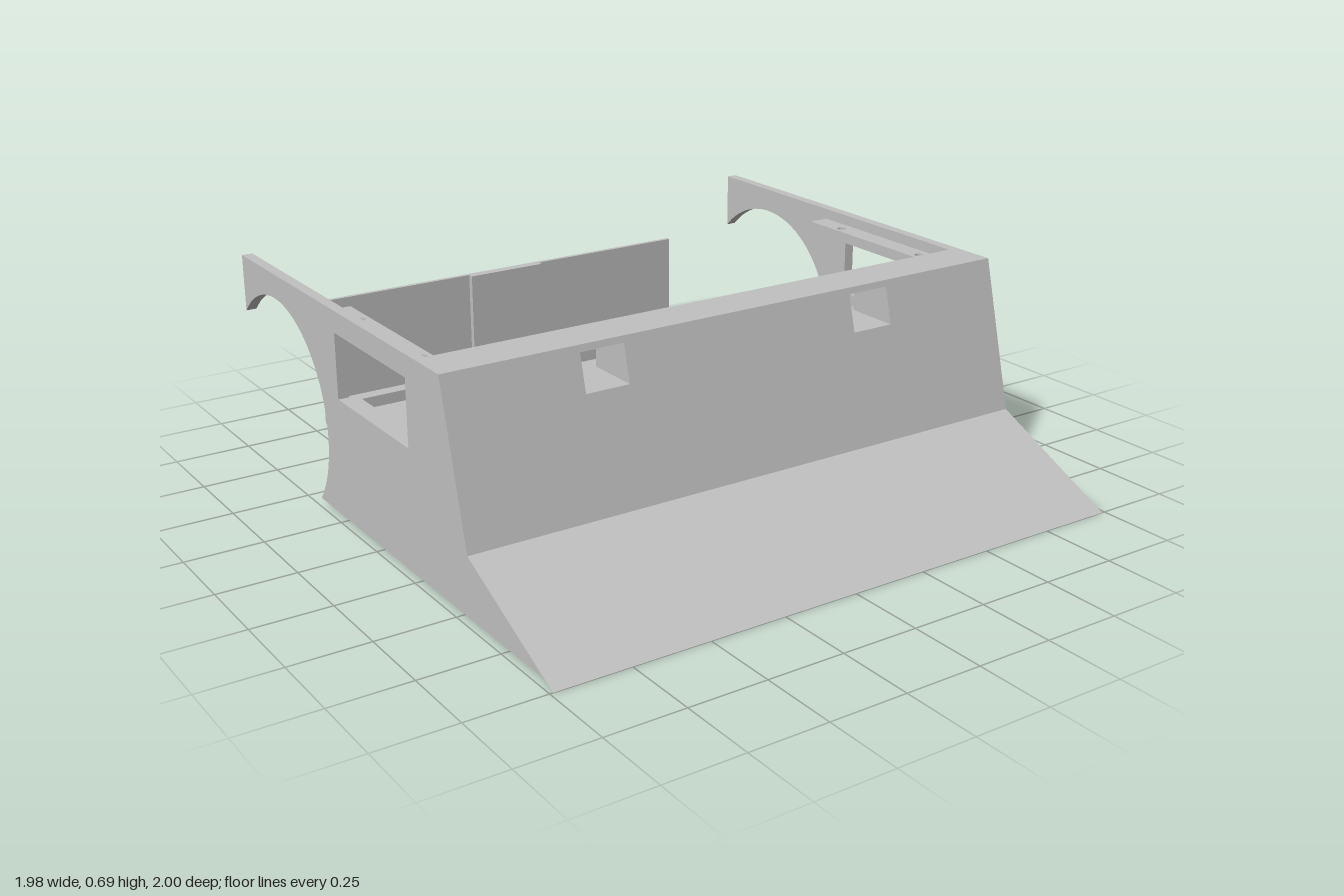
import * as THREE from 'three';
import { toCreasedNormals } from 'three/addons/utils/BufferGeometryUtils.js';

export function createModel() {
  const model = new THREE.Group();
  model.name = 'chassisShell';
  const grey = new THREE.MeshStandardMaterial({ color: 0xc0c0c0 });
  grey.name = 'plain grey';

  const add = (name, geometry) => {
    const mesh = new THREE.Mesh(geometry, grey);
    mesh.name = name;
    model.add(mesh);
    return mesh;
  };
  const box = (name, x0, x1, y0, y1, z0, z1) => {
    const mesh = add(name, new THREE.BoxGeometry(x1 - x0, y1 - y0, z1 - z0));
    mesh.position.set((x0 + x1) / 2, (y0 + y1) / 2, (z0 + z1) / 2);
  };
  const poly = (points) => new THREE.Shape(points.map((p) => new THREE.Vector2(...p)));
  const rect = (x0, x1, y0, y1) => poly([[x0, y0], [x1, y0], [x1, y1], [x0, y1]]);
  const circle = (x, y, r) => new THREE.Shape().absarc(x, y, r, 0, Math.PI * 2);
  const stadium = (x, y, half, r) => new THREE.Shape()
    .absarc(x + half - r, y, r, -Math.PI / 2, Math.PI / 2)
    .absarc(x - half + r, y, r, Math.PI / 2, Math.PI * 1.5);
  const extrude = (shape, depth) =>
    new THREE.ExtrudeGeometry(shape, { depth, bevelEnabled: false, curveSegments: 24 });

  // Outline in (x, z), spanning y0 to y1
  const plan = (name, shape, holes, y0, y1) => {
    shape.holes = holes;
    const g = extrude(shape, y1 - y0).rotateX(Math.PI / 2).translate(0, y1, 0);
    add(name, toCreasedNormals(g, 0.5));
  };
  // Outline in (z, y), spanning x0 to x1
  const profile = (name, shape, x0, x1) => {
    const g = extrude(shape, x1 - x0).rotateY(-Math.PI / 2).translate(x1, 0, 0);
    add(name, toCreasedNormals(g, 0.5));
  };

  const outer = 0.99, inner = 0.955, tail = 0.715;
  const bottom = 0.02, floor = 0.055, top = 0.685, front = 0.29;

  // Side walls with window and rear wheel arch
  const sideShape = () => {
    const s = poly([[0.95, bottom], [1, 0], [0.56, 0.205], [0.435, top], [-0.94, top], [-0.94, 0.497]]);
    s.absarc(-0.685, 0.25, 0.355, Math.atan2(0.247, -0.255), Math.atan2(-0.23, 0.27), true);
    s.holes = [rect(-0.235, 0.23, 0.405, 0.615)];
    return s;
  };
  profile('leftSideWall', sideShape(), inner, outer);
  profile('rightSideWall', sideShape(), -outer, -inner);

  // Front block, divided around the two light openings
  const slantZ = (y) => 0.435 + ((top - y) / 0.48) * 0.125;
  const band = (y0, y1) => poly([[front, y0], [slantZ(y0), y0], [slantZ(y1), y1], [front, y1]]);
  const low = 0.55, high = 0.665;
  profile('frontLowerBlock',
    poly([[front, floor], [0.882, floor], [0.56, 0.205], [slantZ(low), low], [front, low]]), -inner, inner);
  profile('frontUpperBeam', band(high, top), -inner, inner);
  for (const [x0, x1] of [[-inner, -0.555], [-0.41, 0.41], [0.555, inner]]) {
    profile('frontPier', band(low, high), x0, x1);
  }
  profile('noseEdge', poly([[0.882, bottom], [0.95, bottom], [1, 0], [0.882, floor]]), -inner, inner);

  // Floor in two layers, the upper one leaving a shallow tray
  const floorShape = () => poly([[-inner, 0.882], [-inner, -0.412], [-tail, -0.412], [-tail, -0.985],
    [tail, -0.985], [tail, -0.412], [inner, -0.412], [inner, 0.882]]);
  const floorHoles = () => {
    const holes = [stadium(0, -0.618, 0.157, 0.068)];
    for (const x of [-0.421, -0.118, 0.118, 0.421]) {
      for (const z of [-0.74, -0.5]) holes.push(circle(x, z, 0.019));
    }
    for (const x of [-0.76, 0.76]) holes.push(stadium(x, 0.75, 0.15, 0.045));
    return holes;
  };
  plan('floorBase', floorShape(), floorHoles(), bottom, 0.042);
  plan('floorTop', floorShape(), [...floorHoles(), rect(-0.85, 0.85, -0.25, 0.23)], 0.042, floor);

  // Thin mounting pads on the rear floor
  for (const s of [-1, 1]) {
    const holes = [-0.74, -0.5].map((z) => circle(s * 0.421, z, 0.019));
    plan('mountingPad', rect(s * 0.4, s * 0.65, -0.82, -0.42), holes, floor, 0.061);
  }

  // Inner shelf frame below the windows
  plan('shelfFrame', rect(-inner, inner, -0.345, front),
    [rect(-0.885, 0.885, -0.3, 0.24)], 0.33, 0.365);

  // Upper rails with screw holes
  for (const s of [-1, 1]) {
    const holes = [-0.21, 0.19].map((z) => circle(s * 0.915, z, 0.015));
    plan('upperRail', rect(s * 0.885, s * inner, -0.345, front), holes, 0.615, 0.65);
  }

  // Rear panel with a slot and a thickened centre
  const rear = rect(-tail, tail, bottom, 0.465);
  rear.holes = [rect(-0.143, 0.143, 0.075, 0.145)];
  add('rearPanel', extrude(rear, 0.015).translate(0, 0, -1));
  box('rearPanelRib', -0.143, 0.143, 0.145, 0.465, -0.985, -0.965);
  box('rearPanelSill', -0.143, 0.143, floor, 0.075, -0.985, -0.965);

  return model;
}
